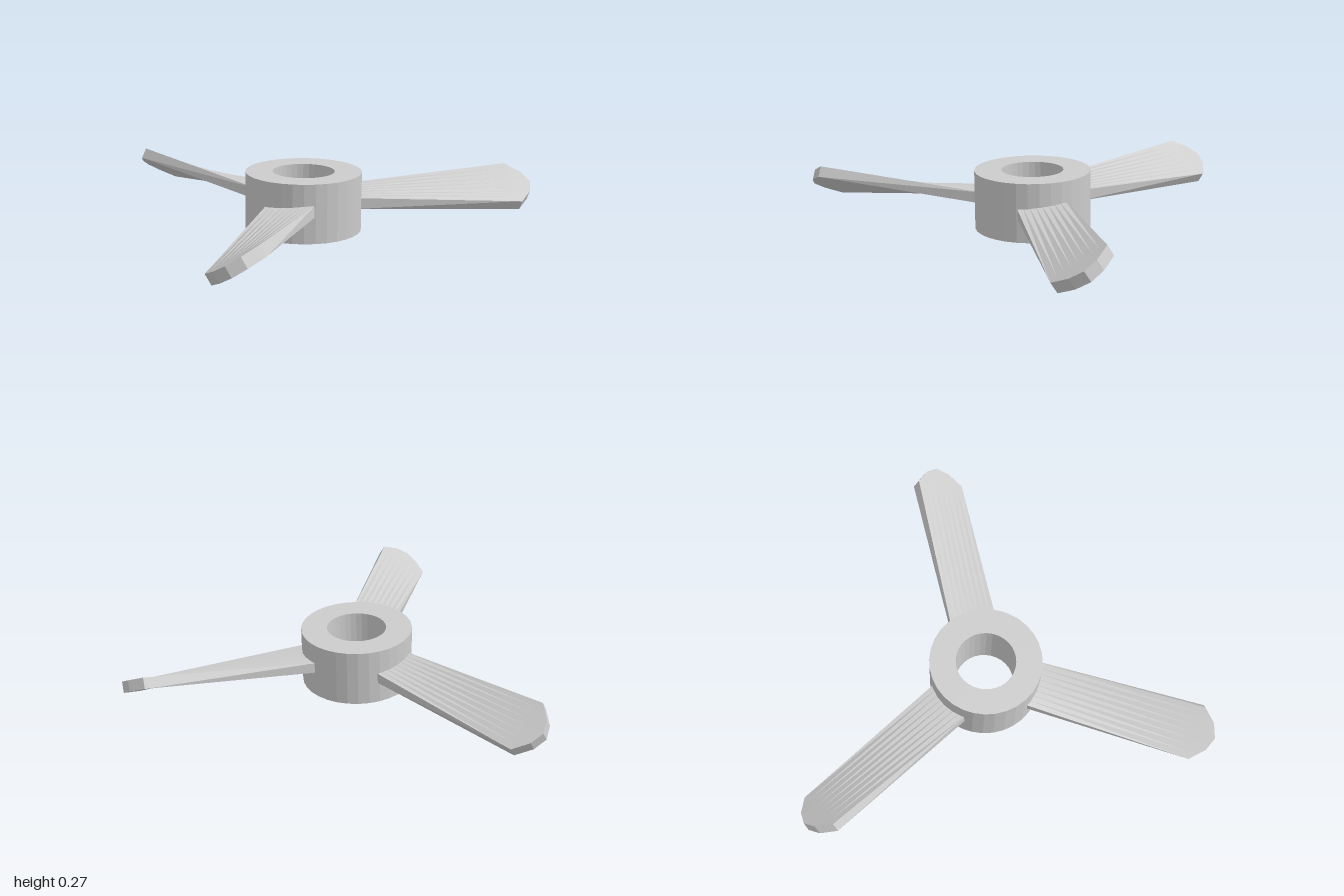
import * as THREE from 'three';
import { toCreasedNormals } from 'three/addons/utils/BufferGeometryUtils.js';

const HUB_Z = 0.25;            // hub axis, offset so the whole rotor is centred
const MID_Y = 0.14;            // blade centre height
const ROOT = { r: 0.2, width: 0.226, angle: 0.06 };
const TIP = { r: 1.05, width: 0.262, angle: 0.55 };
const THICKNESS = 0.053;

const lerp = THREE.MathUtils.lerp;

// Radius of the rounded blade end at u (-1..1 across the blade)
function tipRadius(u) {
  const a = Math.abs(u);
  return a < 0.5 ? lerp(1.14, 1.115, a / 0.5) : lerp(1.115, TIP.r, (a - 0.5) / 0.5);
}

// Point of a pitched rectangular section; u is -1..1, v is -0.5..0.5
function sectionPoint({ width, angle }, u, v) {
  const x = u * width / 2, y = v * THICKNESS;
  const c = Math.cos(angle), s = Math.sin(angle);
  return [x * c + y * -s, -x * s + y * c].map((n, i) => (i === 0 ? x * c + y * s : n));
}

// Blade pointing to -z: a box ruled from the flat root to the pitched tip
function bladeGeometry() {
  const geo = new THREE.BoxGeometry(2, 1, 2, 8, 1, 2);
  const p = geo.attributes.position;
  for (let i = 0; i < p.count; i++) {
    // spread the columns so that a corner of the rounded end falls on u = 0.5
    const u = p.getX(i), v = p.getY(i), row = Math.round(1 - p.getZ(i));
    const r = [ROOT.r, 1.04, tipRadius(u)][row];
    const k = Math.min(1, (r - ROOT.r) / (TIP.r - ROOT.r));
    const a = sectionPoint(ROOT, u, v), b = sectionPoint(TIP, u, v);
    p.setXYZ(i, lerp(a[0], b[0], k), lerp(a[1], b[1], k), -r);
  }
  return toCreasedNormals(geo, 0.3);
}

export function createModel() {
  const group = new THREE.Group();
  group.name = 'propeller';
  const material = new THREE.MeshStandardMaterial({ color: 0xcccccc });

  // Hub ring with a through bore
  const profile = [[0.27, 0], [0.27, 0.274], [0.144, 0.274], [0.144, 0], [0.27, 0]]
    .map(([x, y]) => new THREE.Vector2(x, y));
  const hub = new THREE.Mesh(
    toCreasedNormals(new THREE.LatheGeometry(profile, 32), 0.1), material);
  hub.name = 'hub';
  hub.position.z = HUB_Z;
  group.add(hub);

  // Three blades evenly spaced around the hub
  const geo = bladeGeometry();
  ['backBlade', 'rightBlade', 'leftBlade'].forEach((name, i) => {
    const blade = new THREE.Mesh(geo, material);
    blade.name = name;
    blade.position.set(0, MID_Y, HUB_Z);
    blade.rotation.y = i * Math.PI * 2 / 3;
    group.add(blade);
  });
  return group;
}
